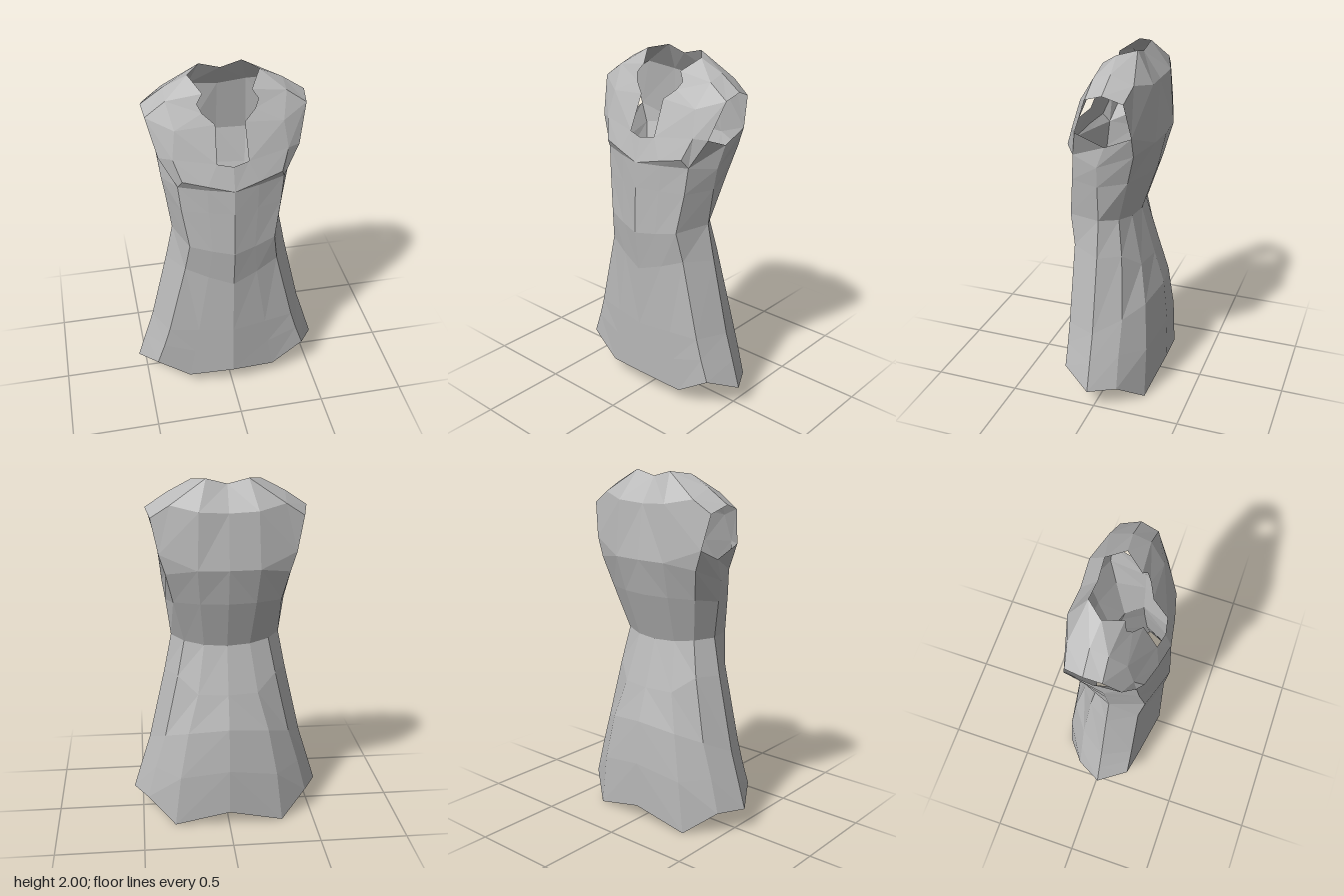
import * as THREE from 'three';

const fabric = new THREE.MeshStandardMaterial({ color: 0xb8b8b8, side: THREE.DoubleSide, flatShading: true });
fabric.name = 'grey fabric';

// Flat-faceted mesh from polygons of one half (+x), mirrored to the other half
function mirroredMesh(name, polygons) {
  const out = [];
  for (const poly of polygons) {
    for (let i = 1; i < poly.length - 1; i++) {
      const tri = [poly[0], poly[i], poly[i + 1]];
      for (const p of tri) out.push(p[0], p[1], p[2]);
      for (const p of tri.reverse()) out.push(-p[0], p[1], p[2]);
    }
  }
  const geometry = new THREE.BufferGeometry();
  geometry.setAttribute('position', new THREE.Float32BufferAttribute(out, 3));
  geometry.computeVertexNormals();
  const mesh = new THREE.Mesh(geometry, fabric);
  mesh.name = name;
  return mesh;
}

// Quads between half rings running from front centre round to back centre
function loft(rings) {
  const quads = [];
  for (let r = 0; r < rings.length - 1; r++) {
    for (let c = 0; c < rings[r].length - 1; c++) {
      quads.push([rings[r][c], rings[r][c + 1], rings[r + 1][c + 1], rings[r + 1][c]]);
    }
  }
  return quads;
}

export function createModel() {
  const group = new THREE.Group();
  group.name = 'sleevelessDress';

  const waist = [[0, 1.035, 0.29], [0.12, 1.05, 0.255], [0.24, 1.075, 0.22], [0.31, 1.09, 0.03],
    [0.24, 1.08, -0.065], [0.13, 1.065, -0.105], [0, 1.06, -0.12]];
  const underBust = [[0, 1.442, 0.276], [0.14, 1.445, 0.235], [0.29, 1.45, 0.18], [0.357, 1.42, 0.02],
    [0.34, 1.5, -0.18], [0.17, 1.53, -0.245], [0, 1.53, -0.255]];

  // Skirt, from the uneven hem up to the waist
  group.add(mirroredMesh('skirt', loft([
    [[0, 0.12, 0.265], [0.26, 0.078, 0.215], [0.45, 0.2, 0.19], [0.55, 0.125, 0.02],
      [0.47, 0.125, -0.128], [0.315, 0, -0.248], [0, 0.085, -0.285]],
    [[0, 0.3, 0.265], [0.225, 0.28, 0.22], [0.405, 0.33, 0.19], [0.5, 0.29, 0.02],
      [0.42, 0.32, -0.125], [0.28, 0.3, -0.245], [0, 0.35, -0.285]],
    [[0, 0.45, 0.265], [0.2, 0.45, 0.225], [0.37, 0.45, 0.19], [0.45, 0.45, 0.02],
      [0.36, 0.52, -0.125], [0.23, 0.57, -0.22], [0, 0.6, -0.26]],
    [[0, 0.805, 0.265], [0.14, 0.85, 0.23], [0.265, 0.9, 0.19], [0.352, 0.88, 0.025],
      [0.28, 0.88, -0.095], [0.17, 0.79, -0.175], [0, 0.79, -0.2]],
    waist,
  ])));

  // Bodice, from the waist up to below the bust
  group.add(mirroredMesh('bodice', loft([
    waist,
    [[0, 1.3, 0.281], [0.135, 1.3, 0.24], [0.275, 1.3, 0.193], [0.338, 1.3, 0.025],
      [0.3, 1.33, -0.135], [0.155, 1.33, -0.19], [0, 1.33, -0.21]],
    underBust,
  ])));

  const [u0, u1, u2, u3, u4, u5, u6] = underBust;
  // Bust and chest points
  const b1 = [0.14, 1.475, 0.25], b2 = [0.27, 1.5, 0.215];
  const c2 = [0.31, 1.615, 0.17], c3 = [0.29, 1.76, 0.13];
  // Armhole points: bottom, front, front top, top, back top, back
  const armLow = [0.37, 1.545, -0.03], armFront = [0.38, 1.61, 0.13], a1 = [0.43, 1.81, 0.05];
  const a0 = [0.44, 1.84, -0.045], a2 = [0.415, 1.8, -0.15], armBack = [0.375, 1.61, -0.18];
  // Shoulder and upper back points
  const s0 = [0.32, 1.92, -0.05], s1 = [0.32, 1.89, 0.045], s2 = [0.31, 1.87, -0.17];
  const r5 = [0.16, 1.84, -0.225], r6 = [0, 1.83, -0.215];
  // Neckline points, from the foot of the slit round to the back
  const n0 = [0, 1.575, 0.238], n1 = [0.085, 1.59, 0.22], n2 = [0.078, 1.78, 0.14];
  const n3 = [0.14, 1.833, 0.105], n4 = [0.162, 1.875, 0.08], n5 = [0.13, 1.922, 0.062];
  const n6 = [0.19, 1.985, -0.035], n7 = [0.115, 2, -0.125], n8 = [0, 1.97, -0.12];

  group.add(mirroredMesh('bust', [
    [u0, u1, b1], [u1, u2, b2, b1], [u0, b1, n1, n0], [b1, b2, c2, n1], [u2, armFront, c2, b2],
  ]));
  group.add(mirroredMesh('underarms', [[u2, u3, armLow, armFront], [u3, u4, armBack, armLow]]));
  group.add(mirroredMesh('chest', [
    [n1, c2, c3, n2], [c2, armFront, a1, c3], [c3, a1, s1], [n2, c3, n3], [n3, c3, s1, n4], [n4, s1, n5],
  ]));
  group.add(mirroredMesh('shoulders', [
    [s1, s0, n6, n5], [a1, a0, s0, s1], [a0, a2, s2, s0], [s0, s2, n7, n6],
  ]));
  group.add(mirroredMesh('upperBack', [
    [s2, r5, n7], [r5, r6, n8, n7], [u4, u5, armBack], [armBack, u5, r5, s2], [a2, armBack, s2], [u5, u6, r6, r5],
  ]));
  return group;
}
